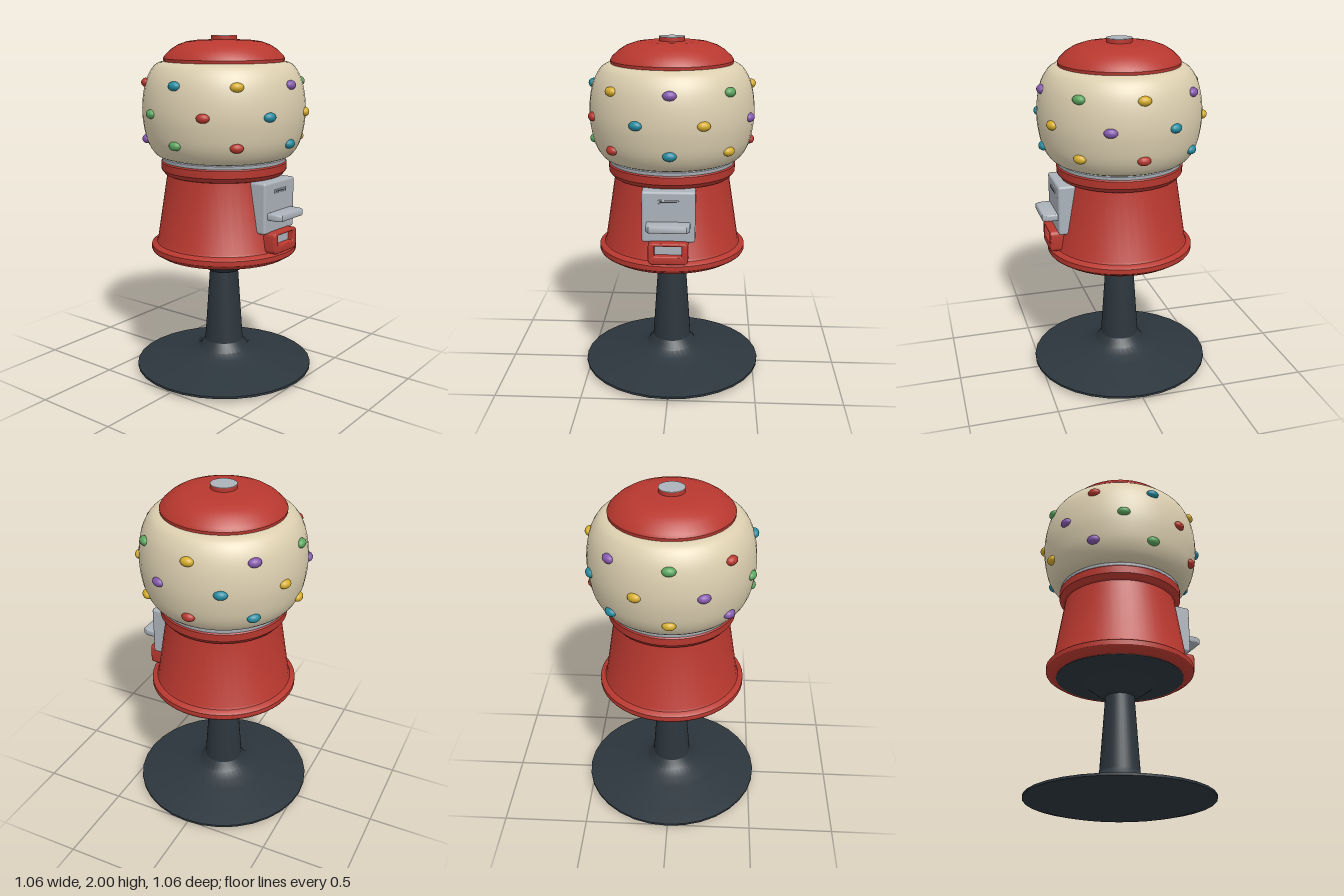
import * as THREE from 'three';
import { toCreasedNormals } from 'three/addons/utils/BufferGeometryUtils.js';
import { RoundedBoxGeometry } from 'three/addons/geometries/RoundedBoxGeometry.js';

const paint = (name, color) => {
  const m = new THREE.MeshStandardMaterial({ color });
  m.name = name;
  return m;
};

export function createModel() {
  const group = new THREE.Group();
  const red = paint('red', 0xb8382f);
  const dark = paint('dark slate', 0x2c363d);
  const cream = paint('cream', 0xdccfb0);
  const silver = paint('silver', 0xabb2ba);
  const yellow = paint('yellow', 0xd6ad2b);
  const purple = paint('purple', 0x8458ad);
  const green = paint('green', 0x5aa55e);
  const teal = paint('teal', 0x238ba0);

  const add = (name, geometry, material, x = 0, y = 0, z = 0) => {
    const mesh = new THREE.Mesh(geometry, material);
    mesh.name = name;
    mesh.position.set(x, y, z);
    group.add(mesh);
    return mesh;
  };
  const lathe = (points, segments = 32) =>
    toCreasedNormals(new THREE.LatheGeometry(points.map(p => new THREE.Vector2(...p)), segments), 0.5);

  // Pedestal: wide foot, tapered column and flared support
  add('pedestal', lathe([
    [0, 0], [0.45, 0.005], [0.53, 0.025], [0.53, 0.038], [0.45, 0.055], [0.27, 0.088],
    [0.2, 0.105], [0.15, 0.13], [0.125, 0.165], [0.115, 0.18], [0.085, 0.62], [0.1, 0.625],
    [0.15, 0.66], [0.2, 0.7], [0.25, 0.723], [0.37, 0.733], [0.37, 0.745], [0, 0.745],
  ]), dark);

  // Red body with bottom flange and top collar
  add('body', lathe([
    [0, 0.74], [0.36, 0.735], [0.39, 0.735], [0.425, 0.757], [0.43, 0.765], [0.43, 0.792], [0.42, 0.8],
    [0.4, 0.808], [0.393, 0.82], [0.332, 1.21], [0.345, 1.215], [0.365, 1.24],
    [0.367, 1.283], [0.36, 1.29], [0, 1.29],
  ], 48), red);
  add('globeRing', lathe([[0, 1.285], [0.358, 1.285], [0.36, 1.29], [0.36, 1.308], [0.35, 1.315], [0, 1.315]], 48), silver);

  // Globe
  const globeCurve = new THREE.SplineCurve([
    [0.335, 1.308], [0.395, 1.33], [0.44, 1.4], [0.462, 1.49], [0.47, 1.58],
    [0.462, 1.68], [0.44, 1.765], [0.405, 1.825], [0.37, 1.85], [0.33, 1.857],
  ].map(p => new THREE.Vector2(...p)));
  add('globe', new THREE.LatheGeometry(globeCurve.getPoints(30), 48), cream);

  // Lid and cap
  add('lid', lathe([
    [0, 1.855], [0.345, 1.855], [0.347, 1.872], [0.338, 1.888], [0.3, 1.924], [0.26, 1.949],
    [0.21, 1.966], [0.15, 1.974], [0, 1.977],
  ], 48), red);
  add('lidKnob', new THREE.CylinderGeometry(0.073, 0.073, 0.026, 32), red, 0, 1.984, 0);
  add('lidKnobTop', new THREE.CylinderGeometry(0.073, 0.073, 0.003, 32), silver, 0, 1.9985, 0);

  // Candies: three rows of eight, the middle row offset by half a step
  const rows = [
    [1.74, 0.446, 1.3, [purple, green, yellow, purple, green, red, teal, yellow]],
    [1.58, 0.467, 23.8, [yellow, purple, teal, yellow, purple, green, red, teal]],
    [1.42, 0.446, 1.3, [teal, yellow, red, teal, yellow, purple, green, red]],
  ];
  const candy = new THREE.SphereGeometry(1, 16, 10);
  for (const [y, r, start, colours] of rows) {
    colours.forEach((material, k) => {
      const a = THREE.MathUtils.degToRad(start + 45 * k);
      const mesh = add('candy', candy, material, r * Math.sin(a), y, r * Math.cos(a));
      mesh.scale.set(0.038, 0.026, 0.027);
      mesh.rotation.y = a;
    });
  }

  // Coin plate with slot and turning handle
  add('coinPlate', new RoundedBoxGeometry(0.295, 0.29, 0.18, 2, 0.014), silver, 0, 1.067, 0.306);
  add('coinSlotRim', new RoundedBoxGeometry(0.115, 0.02, 0.008, 2, 0.003), silver, 0, 1.156, 0.397);
  add('coinSlot', new THREE.BoxGeometry(0.095, 0.006, 0.004), dark, 0, 1.156, 0.4);
  const grip = new THREE.Shape([
    [-0.115, 0.38], [0.115, 0.38], [0.115, 0.455], [0.1, 0.477], [-0.1, 0.477], [-0.115, 0.455],
  ].map(p => new THREE.Vector2(...p)));
  const handle = new THREE.ExtrudeGeometry(grip, {
    depth: 0.02, bevelEnabled: true, bevelSize: 0.008, bevelThickness: 0.01, bevelSegments: 3, bevelOffset: -0.002,
  });
  handle.rotateX(Math.PI / 2);
  add('handle', toCreasedNormals(handle, 0.7), silver, 0, 1.032, 0);

  // Dispensing chute: red frame around a recessed tray
  const roundRect = (path, w, y0, y1, r) => {
    path.moveTo(-w + r, y0).lineTo(w - r, y0).quadraticCurveTo(w, y0, w, y0 + r);
    path.lineTo(w, y1 - r).quadraticCurveTo(w, y1, w - r, y1);
    path.lineTo(-w + r, y1).quadraticCurveTo(-w, y1, -w, y1 - r);
    path.lineTo(-w, y0 + r).quadraticCurveTo(-w, y0, -w + r, y0);
    return path;
  };
  const frame = roundRect(new THREE.Shape(), 0.104, 0.814, 0.924, 0.02);
  frame.holes.push(roundRect(new THREE.Path(), 0.082, 0.848, 0.924 - 0.005, 0.012));
  add('chuteFrame', toCreasedNormals(new THREE.ExtrudeGeometry(frame, {
    depth: 0.09, bevelEnabled: true, bevelSize: 0.007, bevelThickness: 0.008, bevelSegments: 3, curveSegments: 5,
  }), 0.7), red, 0, 0, 0.342);
  add('chuteTray', new THREE.BoxGeometry(0.17, 0.08, 0.06), silver, 0, 0.884, 0.375);
  return group;
}
